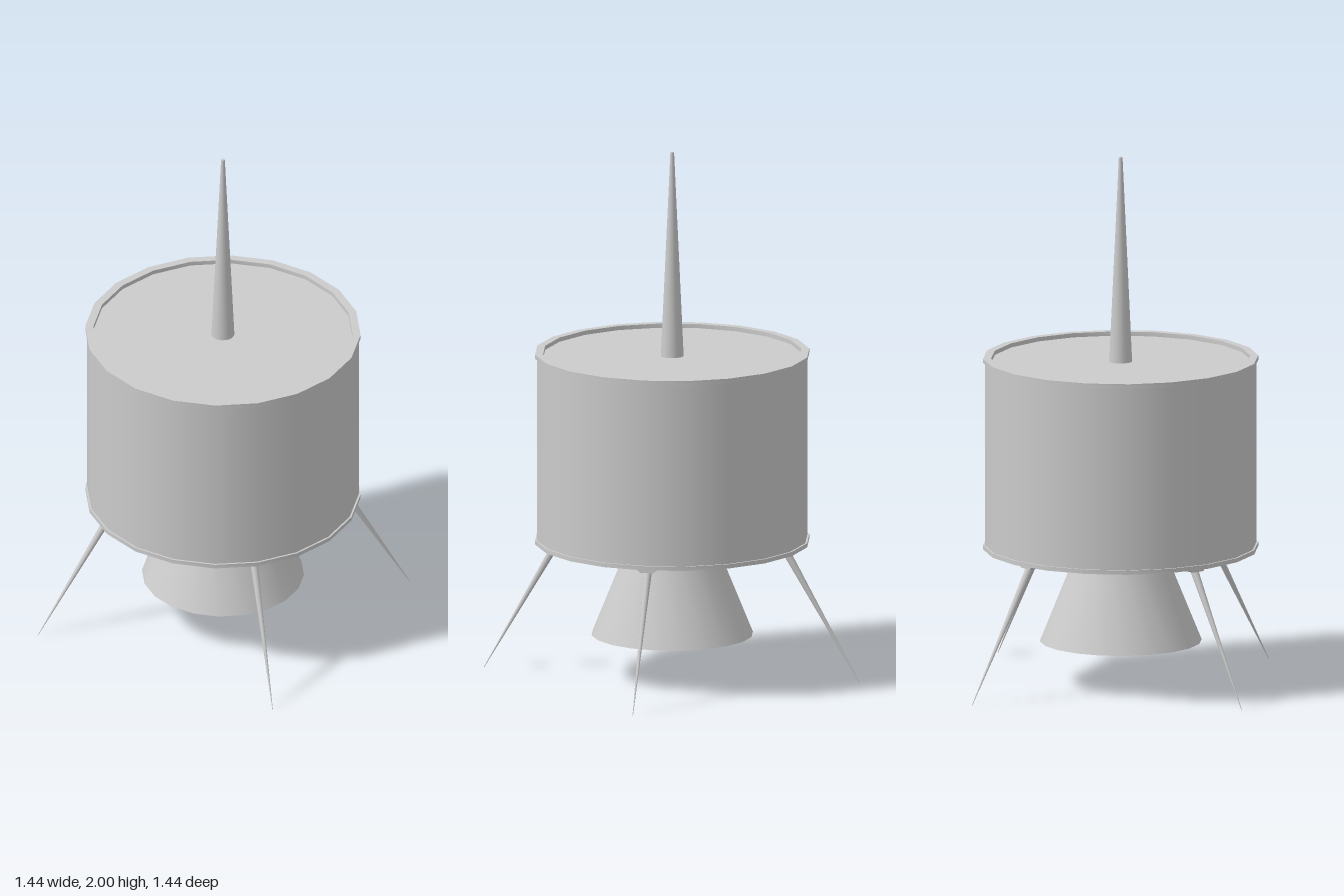
import * as THREE from 'three';
import { toCreasedNormals } from 'three/addons/utils/BufferGeometryUtils.js';

const material = new THREE.MeshStandardMaterial({ color: 0xcccccc });
const SIDES = 20;

function addMesh(parent, name, geometry) {
  const mesh = new THREE.Mesh(geometry, material);
  mesh.name = name;
  parent.add(mesh);
  return mesh;
}

// Revolved part; profile runs upwards on its outer side
function turned(parent, name, profile) {
  const points = profile.map(([r, y]) => new THREE.Vector2(r, y));
  return addMesh(parent, name, toCreasedNormals(new THREE.LatheGeometry(points, SIDES), 0.6));
}

// Landing leg pointing along +x: chamfered bracket and tapering strut
function createLeg() {
  const leg = new THREE.Group();
  leg.name = 'landingLeg';

  const outline = new THREE.Shape([
    [-0.025, 0.49], [0.025, 0.49], [0.04, 0.503], [0.04, 0.525], [-0.04, 0.525], [-0.04, 0.503],
  ].map(([x, y]) => new THREE.Vector2(x, y)));
  const bracket = addMesh(leg, 'legBracket',
    new THREE.ExtrudeGeometry(outline, { depth: 0.045, bevelEnabled: false }));
  bracket.rotation.y = Math.PI / 2;
  bracket.position.x = 0.413;

  const top = new THREE.Vector3(0.432, 0.5, 0);
  const foot = new THREE.Vector3(0.717, 0, 0);
  const axis = top.clone().sub(foot);
  const strut = addMesh(leg, 'legStrut', new THREE.CylinderGeometry(0.015, 0.001, axis.length(), 10));
  strut.position.copy(top).add(foot).multiplyScalar(0.5);
  strut.quaternion.setFromUnitVectors(new THREE.Vector3(0, 1, 0), axis.normalize());
  return leg;
}

export function createModel() {
  const model = new THREE.Group();
  model.name = 'spaceProbe';

  const core = new THREE.Group();
  core.name = 'core';
  core.position.x = -0.004;
  model.add(core);

  // Drum with its recessed decks
  const drum = addMesh(core, 'drumBody', new THREE.CylinderGeometry(0.508, 0.508, 0.696, SIDES));
  drum.position.y = 0.874;

  // Raised rims around both decks
  for (const [name, low, high] of [['topRim', 1.222, 1.238], ['bottomRim', 0.512, 0.528]]) {
    turned(core, name, [[0.485, low], [0.515, low], [0.515, high], [0.485, high], [0.485, low]]);
  }

  // Antenna spike
  const spike = addMesh(core, 'antennaSpike', new THREE.CylinderGeometry(0.007, 0.043, 0.78, SIDES));
  spike.position.y = 1.61;

  // Engine collar and hollow bell
  const collar = addMesh(core, 'engineCollar', new THREE.CylinderGeometry(0.22, 0.22, 0.072, SIDES));
  collar.position.y = 0.491;
  turned(core, 'engineBell', [[0, 0.445], [0.17, 0.445], [0.29, 0.16], [0.303, 0.16], [0.183, 0.456]]);

  // Four legs
  for (let i = 0; i < 4; i++) {
    const leg = createLeg();
    leg.rotation.y = i * Math.PI / 2;
    model.add(leg);
  }
  return model;
}
